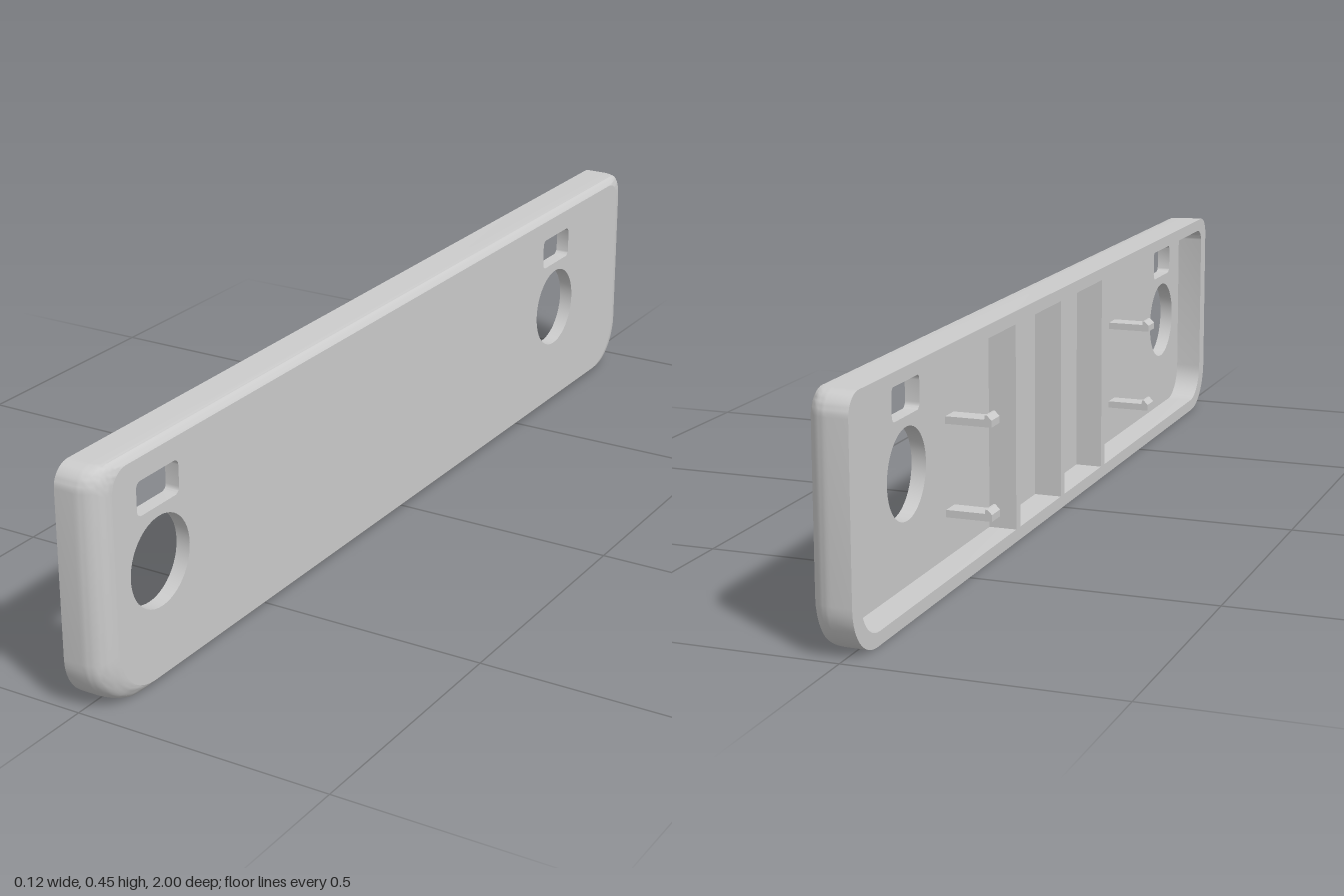
import * as THREE from 'three';
import { toCreasedNormals } from 'three/addons/utils/BufferGeometryUtils.js';

const BACK = -0.025, FLOOR = 0.03, FACE = 0.058;
const WALL_Z = 0.035, WALL_Y = 0.025;
const material = new THREE.MeshStandardMaterial({ color: 0xcccccc });

// Outlines are drawn in (-z, y), counter-clockwise as seen from +x.
function roundedOutline(x0, x1, y0, y1, rTop, rBottom, steps = 10) {
  const corners = [
    [x1 - rBottom, y0 + rBottom, rBottom, -0.5],
    [x1 - rTop, y1 - rTop, rTop, 0],
    [x0 + rTop, y1 - rTop, rTop, 0.5],
    [x0 + rBottom, y0 + rBottom, rBottom, 1],
  ];
  const pts = [];
  for (const [cx, cy, r, start] of corners) {
    for (let i = 0; i <= steps; i++) {
      const a = (start + (0.5 * i) / steps) * Math.PI;
      pts.push(new THREE.Vector2(cx + r * Math.cos(a), cy + r * Math.sin(a)));
    }
  }
  return pts;
}

function circleOutline(cx, cy, r, n = 48) {
  return Array.from({ length: n }, (_, i) => {
    const a = (i / n) * Math.PI * 2;
    return new THREE.Vector2(cx + r * Math.cos(a), cy + r * Math.sin(a));
  });
}

// Skin through a list of { x, pts } rings
function loft(rings) {
  const n = rings[0].pts.length, pos = [], index = [];
  for (const { x, pts } of rings) for (const p of pts) pos.push(x, p.y, -p.x);
  for (let i = 0; i < rings.length - 1; i++) {
    for (let j = 0; j < n; j++) {
      const k = (j + 1) % n;
      const a = i * n + j, b = i * n + k, c = b + n, d = a + n;
      index.push(a, b, c, a, c, d);
    }
  }
  const g = new THREE.BufferGeometry();
  g.setAttribute('position', new THREE.Float32BufferAttribute(pos, 3));
  g.setIndex(index);
  return toCreasedNormals(g, 0.5);
}

// Flat sheet at a given x, facing +x or -x
function sheet(outline, holes, x, facesBack) {
  const shape = new THREE.Shape(outline);
  shape.holes = holes.map((h) => new THREE.Path(h));
  const g = new THREE.ShapeGeometry(shape);
  if (facesBack) g.setIndex(Array.from(g.index.array).reverse());
  g.rotateY(Math.PI / 2).translate(x, 0, 0);
  g.computeVertexNormals();
  return g;
}

export function createModel() {
  const model = new THREE.Group();
  const add = (name, geometry, parent = model) => {
    const mesh = new THREE.Mesh(geometry, material);
    mesh.name = name;
    parent.add(mesh);
    return mesh;
  };

  // Outer skin: wide round at the ends, small chamfer along top and bottom
  const outer = (insetZ, insetY) =>
    roundedOutline(-1 + insetZ, 1 - insetZ, insetY, 0.45 - insetY, 0.04, 0.095);
  const rings = [{ x: BACK, pts: outer(0, 0) }];
  const round = 0.046, steps = 12;
  for (let i = 0; i <= steps; i++) {
    const a = (i / steps) * Math.PI / 2;
    const x = FACE - round + round * Math.sin(a);
    rings.push({ x, pts: outer(round * (1 - Math.cos(a)), Math.max(0, x - 0.046)) });
  }
  add('outerShell', loft(rings));

  // Round and rectangular openings near both ends
  const holes = [];
  for (const z of [0.83, -0.65]) {
    holes.push(circleOutline(-z, 0.228, 0.085));
    holes.push(roundedOutline(-z - 0.06, -z + 0.06, 0.332, 0.396, 0.012, 0.012, 5));
  }
  add('frontFace', sheet(rings[rings.length - 1].pts, holes, FACE, false));
  holes.forEach((pts) =>
    add('openingWall', loft([{ x: FACE, pts }, { x: FLOOR, pts }])));

  // Hollow back
  const inner = roundedOutline(-1 + WALL_Z, 1 - WALL_Z, WALL_Y, 0.45 - WALL_Y, 0.03, 0.07);
  add('backRim', sheet(rings[0].pts, [inner], BACK, true));
  add('innerWall', loft([{ x: FLOOR, pts: inner }, { x: BACK, pts: inner }]));
  add('innerFloor', sheet(inner, holes, FLOOR, true));

  // Stiffening ribs
  for (const z of [-0.25, 0, 0.25]) {
    const rib = add('rib', new THREE.BoxGeometry(FLOOR - BACK, 0.45 - 2 * WALL_Y, 0.022));
    rib.position.set((FLOOR + BACK) / 2, 0.225, z);
  }

  // Snap hooks with a barbed tip
  const hookShape = new THREE.Shape([
    [FLOOR, 0], [FLOOR, 0.014], [-0.046, 0.014], [-0.047, 0.022],
    [-0.051, 0.022], [-0.06, 0.013], [-0.06, 0],
  ].reverse().map(([x, y]) => new THREE.Vector2(x, y)));
  const hookGeometry = new THREE.ExtrudeGeometry(hookShape, { depth: 0.04, bevelEnabled: false });
  const hooks = new THREE.Group();
  hooks.name = 'snapHooks';
  model.add(hooks);
  for (const z of [-0.455, 0.47]) {
    for (const y of [0.102, 0.278]) {
      add('snapHook', hookGeometry, hooks).position.set(0, y, z - 0.02);
    }
  }
  return model;
}
